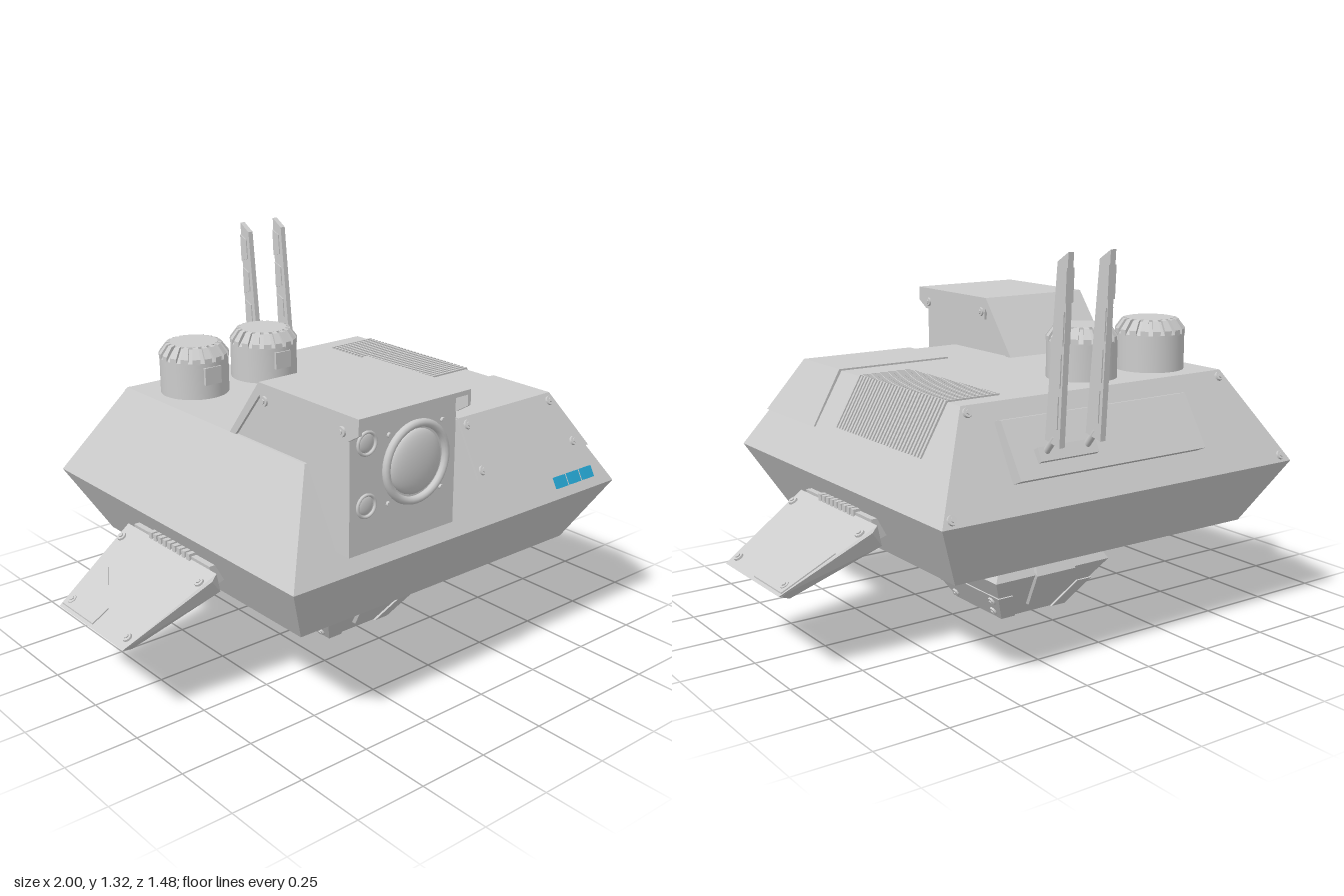
import * as THREE from 'three';
import { ConvexGeometry } from 'three/addons/geometries/ConvexGeometry.js';
import { toCreasedNormals } from 'three/addons/utils/BufferGeometryUtils.js';

const grey = new THREE.MeshStandardMaterial({ color: 0xcccccc });
grey.name = 'light grey';
const blue = new THREE.MeshStandardMaterial({ color: 0x25a4d0 });
blue.name = 'button blue';

const V = (x, y, z) => new THREE.Vector3(x, y, z);

export function createModel() {
  const model = new THREE.Group();
  model.name = 'hoverDrone';

  function add(geometry, name, pos = [0, 0, 0], parent = model, material = grey) {
    const mesh = new THREE.Mesh(geometry, material);
    mesh.name = name;
    mesh.position.set(...pos);
    parent.add(mesh);
    return mesh;
  }
  // Convex solid from corner points
  const hull = (name, points) =>
    add(new ConvexGeometry(points.map((p) => V(...p))), name);
  const box = (name, x0, x1, y0, y1, z0, z1) =>
    add(new THREE.BoxGeometry(x1 - x0, y1 - y0, z1 - z0), name,
      [(x0 + x1) / 2, (y0 + y1) / 2, (z0 + z1) / 2]);
  // Side profile of [z, y] points widened from x0 to x1
  const slab = (name, x0, x1, profile) =>
    hull(name, profile.flatMap(([z, y]) => [[x0, y, z], [x1, y, z]]));
  // Four corners of a level rectangle
  const rect = (x, y, z0, z1) => [[-x, y, z0], [x, y, z0], [x, y, z1], [-x, y, z1]];
  // Turn a part so its local z follows a surface normal
  const face = (part, n) => part.lookAt(part.position.clone().add(V(...n)));
  const disc = (r, h, sides = 20) =>
    toCreasedNormals(new THREE.CylinderGeometry(r * 0.9, r, h, sides).rotateX(Math.PI / 2), 0.6);

  const screwHead = disc(0.017, 0.014), screwSocket = disc(0.009, 0.022, 6);
  function screw(pos, normal) {
    const g = new THREE.Group();
    g.name = 'screw';
    g.position.set(...pos);
    add(screwHead, 'screwHead', [0, 0, 0], g);
    add(screwSocket, 'screwSocket', [0, 0, 0], g);
    face(g, normal);
    model.add(g);
  }

  const FRONT = [0, 0.17, 0.31], BACK = [0, 0.17, -0.31];

  // Main hull
  hull('hull', [
    ...rect(0.53, 0.86, -0.485, 0.5),
    ...rect(0.71, 0.55, -0.66, 0.67),
    ...rect(0.59, 0.33, -0.54, 0.55),
  ]);
  for (const s of [-1, 1]) {
    screw([s * 0.67, 0.572, -0.648], BACK);
    screw([s * 0.515, 0.84, -0.498], BACK);
  }

  // Access panel wrapping the front corner
  hull('cornerPanel', [
    [0.1, 0.866, 0.245], [0.538, 0.866, 0.245], [0.538, 0.866, 0.506], [0.1, 0.866, 0.506],
    [0.1, 0.68, 0.245], [0.641, 0.68, 0.245], [0.641, 0.68, 0.607], [0.1, 0.68, 0.607],
  ]);
  for (const [x, y] of [[0.13, 0.842], [0.525, 0.842], [0.13, 0.705], [0.575, 0.705]])
    screw([x, y, 0.506 + (0.866 - y) * 0.545], FRONT);

  // Buttons
  for (const x of [0.452, 0.518, 0.585])
    face(add(new THREE.BoxGeometry(0.042, 0.04, 0.03), 'button', [x, 0.6, 0.648], model, blue), FRONT);

  // Cooling grille over the side edge
  const slats = 30;
  const slat = new ConvexGeometry([-0.0048, 0.0048].flatMap((z) => [
    V(0.34, 0.84, z), V(0.34, 0.866, z), V(0.535, 0.866, z), V(0.63, 0.7, z), V(0.6, 0.7, z),
  ]));
  for (let i = 0; i < slats; i++)
    add(slat, 'grilleSlat', [0, 0, -0.411 + (i * 0.522) / (slats - 1)]);

  // Domed roof caps with ribbed shoulders
  const profile = [[0.118, 0], [0.118, 0.125], [0.108, 0.138], [0.084, 0.168], [0, 0.168]];
  const capGeo = toCreasedNormals(new THREE.LatheGeometry(
    profile.map(([r, y]) => new THREE.Vector2(r, y)), 48), 0.5);
  const ribGeo = new ConvexGeometry([-1, 1].flatMap((s) => [
    V(0.08, 0.16, s * 0.008), V(0.08, 0.175, s * 0.008), V(0.095, 0.172, s * 0.01),
    V(0.119, 0.14, s * 0.013), V(0.119, 0.122, s * 0.013),
  ]));
  for (const x of [-0.365, -0.067]) {
    const cap = new THREE.Group();
    cap.name = 'roofCap';
    cap.position.set(x, 0.86, -0.31);
    model.add(cap);
    add(capGeo, 'capBody', [0, 0, 0], cap);
    add(new THREE.CylinderGeometry(0.082, 0.082, 0.01, 40), 'capTop', [0, 0.17, 0], cap);
    for (let i = 0; i < 18; i++)
      add(ribGeo, 'capRib', [0, 0, 0], cap).rotation.y = (i * Math.PI) / 9;
    add(new THREE.BoxGeometry(0.065, 0.06, 0.02), 'capPlate', [-0.005, 0.08, 0.112], cap);
  }

  // Camera housing and its hood
  slab('cameraHousing', -0.52, -0.1, [[0.69, 0.62], [0.69, 1.045], [0.28, 1.045], [0.13, 0.84], [0.13, 0.62]]);
  slab('hoodRear', -0.53, -0.09, [[0.28, 1.06], [0.12, 0.855], [0.15, 0.855], [0.3, 1.04]]);
  box('hoodTop', -0.53, -0.09, 1.045, 1.06, 0.28, 0.74);
  for (const [x, n] of [[-0.53, -1], [-0.102, 1]]) {
    slab('hoodSide', x, x + 0.012, [[0.74, 1.06], [0.74, 1.01], [0.69, 0.98], [0.29, 0.98], [0.28, 1.06]]);
    for (const z of [0.67, 0.31]) screw([n < 0 ? -0.53 : -0.09, 1.007, z], [n, 0, 0]);
  }

  // Lenses
  function lens(x, y, r) {
    const g = new THREE.Group();
    g.name = 'lens';
    g.position.set(x, y, 0.69);
    model.add(g);
    add(new THREE.TorusGeometry(r, r * 0.09 + 0.002, 10, 40), 'lensRing', [0, 0, 0.006], g);
    add(new THREE.SphereGeometry(r * 0.85, 32, 16), 'lensGlass', [0, 0, 0], g).scale.z = 0.27;
  }
  lens(-0.265, 0.86, 0.12);
  lens(-0.46, 0.962, 0.034);
  lens(-0.46, 0.77, 0.034);
  for (const dx of [-1, 1]) for (const dy of [-1, 1])
    add(disc(0.008, 0.012, 12), 'lensBolt', [-0.265 + dx * 0.107, 0.86 + dy * 0.107, 0.692]);

  // Rear panel with antenna bracket
  slab('rearPanel', -0.31, 0.43, [[-0.5, 0.785], [-0.525, 0.81], [-0.55, 0.815], [-0.655, 0.65], [-0.61, 0.63]]);
  face(add(new THREE.BoxGeometry(0.22, 0.045, 0.03), 'antennaBracket', [0.24, 0.71, -0.624]), BACK);

  // Antenna blades
  for (const x of [0.165, 0.32]) {
    slab('antennaBlade', x - 0.01, x + 0.01, [[-0.69, 1.29], [-0.74, 1.32], [-0.705, 0.745], [-0.635, 0.76]]);
    for (let i = 0; i < 4; i++) {
      const y = 0.8 + i * 0.125, z = -0.672 - i * 0.012;
      slab('antennaInlay', x - 0.014, x + 0.014,
        [[z - 0.025, y], [z - 0.03, y + 0.1], [z + 0.006, y + 0.085], [z + 0.012, y + 0.012]]);
    }
    const stem = add(new THREE.CylinderGeometry(0.011, 0.011, 0.09, 12), 'antennaStem', [x, 0.74, -0.645]);
    stem.rotation.x = -0.7;
  }

  // Side fins with hinges
  const finTop = (x, lift = 0) => 0.465 - 0.597 * (x - 0.69) + lift;
  for (const s of [-1, 1]) {
    const both = (list) => list.flatMap(([x, y, z]) => [[s * x, y, z], [s * x, y, -z]]);
    hull('fin', both([[0.69, 0.465, 0.258], [0.71, 0.445, 0.262], [1, 0.28, 0.195],
      [0.665, 0.39, 0.24], [0.95, 0.255, 0.165]]));
    hull('finHinge', both([[0.62, 0.42, 0.22], [0.65, 0.475, 0.22], [0.69, 0.475, 0.22], [0.68, 0.4, 0.22]]));
    const plate = [[0.99, 0], [0.93, 0], [0.83, -0.16], [0.82, -0.225], [0.99, -0.192]];
    hull('finPlate', plate.flatMap(([x, z]) =>
      [[s * x, finTop(x, -0.01), z], [s * x, finTop(x, 0.005), z]]));
    for (let i = 0; i < 9; i++) {
      const z = -0.11 + i * 0.0275;
      box('hingeKnuckle', s * 0.675 - 0.022, s * 0.675 + 0.022, 0.45, 0.484, z - 0.009, z + 0.009);
    }
    for (const [x, z] of [[0.735, 0.228], [0.965, 0.168]]) for (const t of [-1, 1])
      screw([s * x, finTop(x), t * z], [s * 0.185, 0.31, 0]);
  }

  // Ribbed neck under the hull
  box('neckCore', -0.17, 0.17, 0.25, 0.34, -0.17, 0.17);
  for (let i = 0; i < 5; i++) {
    const y = 0.268 + i * 0.0135;
    box('neckRib', -0.187, 0.187, y - 0.0045, y + 0.0045, -0.187, 0.187);
  }

  // Lower pod with raised armour plates
  hull('pod', [...rect(0.192, 0.26, -0.215, 0.215), ...rect(0.242, 0.18, -0.257, 0.257), ...rect(0.13, 0, -0.13, 0.13)]);
  for (const s of [-1, 1]) {
    hull('podEndPlate', [[0.07, 0.253, 0.235], [0.082, 0.18, 0.272], [0.05, 0.045, 0.178],
      [0.07, 0.253, 0.12], [0.05, 0.045, 0.1]].flatMap(([x, y, z]) => [[x, y, s * z], [-x, y, s * z]]));
    hull('podSidePlate', [[0.202, 0.105, 0.212], [0.14, 0.105, 0.212], [0.138, 0, 0.14], [0.08, 0, 0.14]]
      .flatMap(([x, y, z]) => [[s * x, y, z], [s * x, y, -z]]));
    for (const [y, z] of [[0.082, 0.155], [0.028, 0.118]]) for (const t of [-1, 1])
      screw([s * (0.138 + 0.61 * y), y, t * z], [s * 0.18, -0.11, 0]);
  }

  return model;
}
